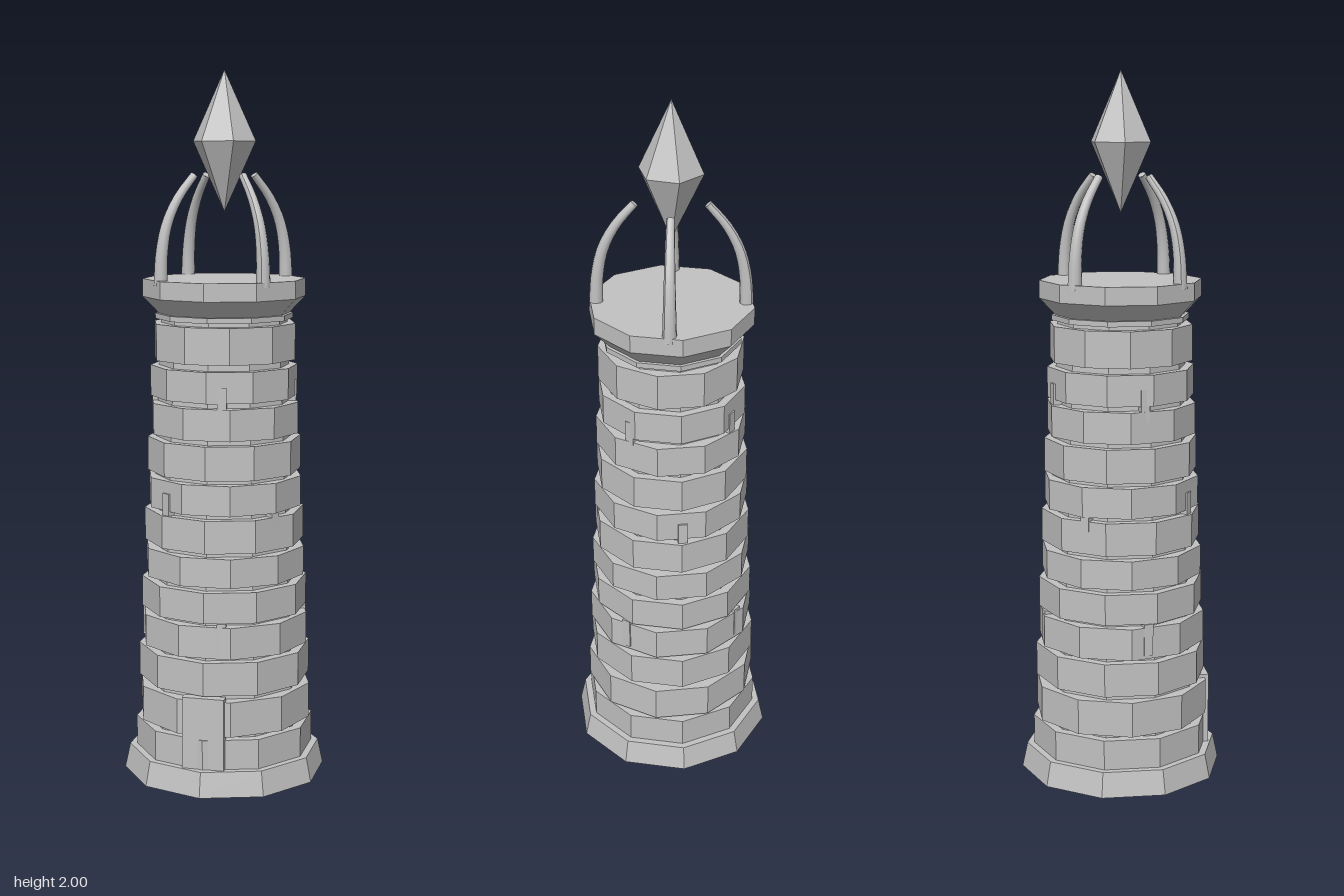
import * as THREE from 'three';

const stone = new THREE.MeshStandardMaterial({ color: 0xc2c2c2 });
stone.name = 'grey stone';

// Faceted copy of a geometry
function faceted(geometry) {
  const g = geometry.index ? geometry.toNonIndexed() : geometry;
  g.computeVertexNormals();
  return g;
}

function add(parent, name, geometry) {
  const mesh = new THREE.Mesh(geometry, stone);
  mesh.name = name;
  parent.add(mesh);
  return mesh;
}

// Prism or frustum between two heights
function drum(parent, name, rTop, rBottom, y0, y1, sides = 10, turn = 0) {
  const g = new THREE.CylinderGeometry(rTop, rBottom, y1 - y0, sides);
  g.rotateY(turn);
  g.translate(0, (y0 + y1) / 2, 0);
  return add(parent, name, faceted(g));
}

// Tapered tube along a curve, with a closed tip
function claw() {
  const group = new THREE.Group();
  const path = new THREE.CatmullRomCurve3([
    [0.145, 1.41], [0.142, 1.5], [0.13, 1.58], [0.105, 1.65], [0.069, 1.712],
  ].map(([d, y]) => new THREE.Vector3(d, y, d)));
  const segments = 12, sides = 10;
  const g = new THREE.TubeGeometry(path, segments, 0.02, sides);
  const pos = g.attributes.position, v = new THREE.Vector3();
  for (let i = 0; i <= segments; i++) {
    const centre = path.getPointAt(i / segments);
    const scale = 1 - 0.45 * (i / segments);
    for (let j = 0; j <= sides; j++) {
      const k = i * (sides + 1) + j;
      v.fromBufferAttribute(pos, k).sub(centre).multiplyScalar(scale).add(centre);
      pos.setXYZ(k, v.x, v.y, v.z);
    }
  }
  g.computeVertexNormals();
  add(group, 'clawShaft', g);
  const tip = add(group, 'clawTip', new THREE.CircleGeometry(0.011, sides));
  tip.position.copy(path.getPointAt(1));
  tip.quaternion.setFromUnitVectors(new THREE.Vector3(0, 0, 1), path.getTangentAt(1));
  return group;
}

export function createModel() {
  const tower = new THREE.Group();
  tower.name = 'tower';

  // Plinth and inner core
  drum(tower, 'plinth', 0.275, 0.29, 0, 0.07);
  drum(tower, 'core', 0.178, 0.232, 0.06, 1.34);

  // Stone courses, every second one turned by half a side
  const courses = [
    [0.07, 0.155], [0.165, 0.265], [0.28, 0.375], [0.385, 0.475],
    [0.485, 0.572], [0.585, 0.667], [0.68, 0.773], [0.785, 0.87],
    [0.882, 0.978], [0.992, 1.08], [1.095, 1.182], [1.2, 1.302],
  ];
  courses.forEach(([y0, y1], i) => {
    const r = 0.255 - 0.0046 * i;
    drum(tower, 'stoneCourse', r, r, y0, y1, 10, i % 2 ? Math.PI / 10 : 0);
  });

  // Cornice and platform
  drum(tower, 'neckRing', 0.195, 0.195, 1.313, 1.328);
  drum(tower, 'cornice', 0.23, 0.185, 1.328, 1.375);
  drum(tower, 'platform', 0.23, 0.23, 1.375, 1.425);

  // Door
  const door = add(tower, 'door', new THREE.BoxGeometry(0.12, 0.21, 0.03));
  door.position.set(0, 0.17, 0.235);

  // Slit windows, four per level, each level turned
  for (const [y, front, turn] of [[0.44, 0.234, 12], [0.79, 0.217, -35], [1.095, 0.204, 12]]) {
    for (let i = 0; i < 4; i++) {
      const g = new THREE.BoxGeometry(0.026, 0.09, 0.04);
      g.translate(0, y, front - 0.02);
      const slit = add(tower, 'slitWindow', g);
      slit.rotation.y = THREE.MathUtils.degToRad(turn + 90 * i);
    }
  }

  // Four claws around the crystal
  for (let i = 0; i < 4; i++) {
    const c = claw();
    c.name = 'claw';
    c.rotation.y = (i * Math.PI) / 2;
    tower.add(c);
  }

  // Floating crystal: two six-sided pyramids
  const crystal = new THREE.Group();
  crystal.name = 'crystal';
  for (const [name, flip] of [['crystalTop', 0], ['crystalBottom', Math.PI]]) {
    const g = new THREE.ConeGeometry(0.09, 0.195, 6, 1, true);
    g.rotateY(Math.PI / 6);
    g.translate(0, 0.0975, 0);
    g.rotateX(flip);
    add(crystal, name, faceted(g));
  }
  crystal.position.y = 1.805;
  tower.add(crystal);

  return tower;
}
